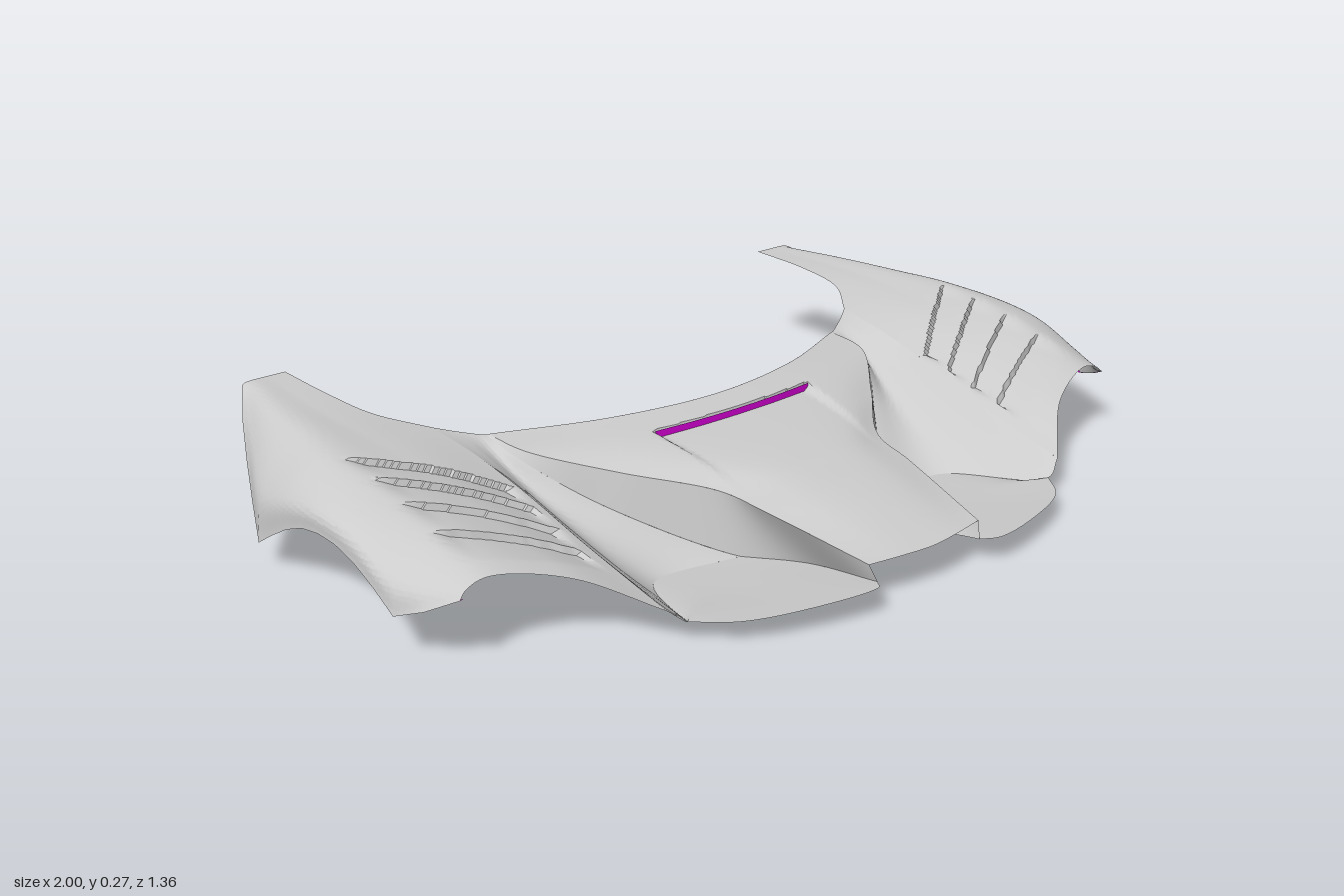
import * as THREE from 'three';
import { toCreasedNormals } from 'three/addons/utils/BufferGeometryUtils.js';

const grey = new THREE.MeshStandardMaterial({ color: 0xcccccc, side: THREE.DoubleSide });
const trim = new THREE.MeshStandardMaterial({ color: 0xcc00cc, side: THREE.DoubleSide });
const V = (x, y, z) => new THREE.Vector3(x, y, z);
const { clamp, smoothstep } = THREE.MathUtils;

// Guide rail through points, running rear to front; returns t => point
function rail(points, straight = false) {
  const pts = points.map(p => V(...p));
  if (!straight) {
    const curve = new THREE.CatmullRomCurve3(pts);
    return t => curve.getPoint(clamp(t, 0, 1));
  }
  return t => {
    const s = clamp(t, 0, 1) * (pts.length - 1), i = Math.min(Math.floor(s), pts.length - 2);
    return pts[i].clone().lerp(pts[i + 1], s - i);
  };
}
const part = (r, from, to) => t => r(from + (to - from) * t);
const shift = (r, x, y, z) => t => r(t).add(V(x, y, z));
const mirrored = r => t => r(t).multiply(V(-1, 1, 1));
// Curve across a set of rails at one station
function across(rails, t) {
  const curve = new THREE.CatmullRomCurve3(rails.map(r => r(t)));
  return u => curve.getPoint(u);
}

// Skin stretched over rails, optionally mirrored and displaced by a rule
function skin(name, rails, nu, nv, side = 1, rule = null, material = grey) {
  const pos = [], idx = [];
  for (let j = 0; j <= nv; j++) {
    const cross = across(rails, j / nv);
    for (let i = 0; i <= nu; i++) {
      const p = cross(i / nu);
      if (rule) p.y += rule(p.x, p.z);
      pos.push(p.x * side, p.y, p.z);
    }
  }
  for (let j = 0; j < nv; j++) {
    for (let i = 0; i < nu; i++) {
      const a = j * (nu + 1) + i, b = a + nu + 1, c = a + 1, d = b + 1;
      if (side > 0) idx.push(a, b, c, c, b, d);
      else idx.push(a, c, b, c, d, b);
    }
  }
  const g = new THREE.BufferGeometry();
  g.setAttribute('position', new THREE.Float32BufferAttribute(pos, 3));
  g.setIndex(idx);
  const mesh = new THREE.Mesh(toCreasedNormals(g, 0.6), material);
  mesh.name = name;
  return mesh;
}

// Fender rails, from the inner edge out to the wheel arch
const innerArm = rail([[0.715, 0.262, -0.685], [0.71, 0.26, -0.5], [0.685, 0.252, -0.35], [0.61, 0.235, -0.24]]);
const innerBody = rail([[0.61, 0.235, -0.24], [0.6, 0.217, -0.1], [0.59, 0.184, 0.06],
  [0.58, 0.132, 0.25], [0.57, 0.075, 0.5]]);
const inner = t => (t < 3 / 7 ? innerArm(t * 7 / 3) : innerBody((t * 7 - 3) / 4));
const middle = rail([[0.755, 0.262, -0.685], [0.77, 0.262, -0.5], [0.77, 0.26, -0.32], [0.76, 0.255, -0.19],
  [0.75, 0.245, -0.05], [0.74, 0.222, 0.08], [0.73, 0.188, 0.22], [0.71, 0.147, 0.385]]);
const crest = rail([[0.8, 0.262, -0.685], [0.85, 0.261, -0.5], [0.88, 0.263, -0.31], [0.9, 0.263, -0.18],
  [0.9, 0.257, -0.05], [0.89, 0.238, 0.08], [0.88, 0.21, 0.2], [0.86, 0.178, 0.33]]);
const shoulder = rail([[0.815, 0.26, -0.685], [0.905, 0.205, -0.49], [0.983, 0.165, -0.31], [0.993, 0.195, -0.18],
  [0.995, 0.212, -0.05], [0.993, 0.2, 0.08], [0.983, 0.155, 0.21], [0.91, 0.165, 0.33]]);
const arch = rail([[0.825, 0.257, -0.68], [0.875, 0.208, -0.59], [0.92, 0.16, -0.495], [0.962, 0.11, -0.4],
  [1, 0.06, -0.31], [1, 0.1, -0.245], [1, 0.136, -0.18], [1, 0.162, -0.115], [1, 0.174, -0.05],
  [1, 0.174, 0.015], [1, 0.161, 0.08], [1, 0.134, 0.15], [0.998, 0.097, 0.215],
  [0.97, 0.122, 0.28], [0.925, 0.152, 0.335]], true);

// Hood rails
const hoodEdge = rail([[0.51, 0.212, -0.18], [0.495, 0.205, -0.06], [0.37, 0.174, 0.1],
  [0.235, 0.147, 0.26], [0.21, 0.132, 0.38], [0.16, 0.09, 0.63]]);
const hoodMid = rail([[0.26, 0.219, -0.07], [0.25, 0.209, 0.03], [0.2, 0.187, 0.17],
  [0.12, 0.163, 0.31], [0.105, 0.14, 0.44], [0.08, 0.091, 0.645]]);
const hoodCentre = rail([[0, 0.22, -0.03], [0, 0.209, 0.06], [0, 0.19, 0.19],
  [0, 0.166, 0.32], [0, 0.143, 0.45], [0, 0.09, 0.652]]);

// Duct rails, from the foot of the hood wall out to the fender
const wallFoot = rail([[0.515, 0.211, -0.182], [0.505, 0.185, -0.062], [0.4, 0.1, 0.085],
  [0.215, 0.006, 0.305], [0.15, 0.02, 0.44], [0.15, 0.055, 0.645]]);
const ramp = rail([[0.53, 0.214, -0.19], [0.53, 0.18, -0.1], [0.505, 0.118, 0.02],
  [0.465, 0.057, 0.155], [0.42, 0.004, 0.275]]);
const bank = rail([[0.57, 0.224, -0.213], [0.568, 0.2, -0.1], [0.552, 0.146, 0.05],
  [0.525, 0.076, 0.25], [0.53, 0.042, 0.51]]);
const ductRails = [part(wallFoot, 0, 0.6), ramp, bank, innerBody];

// Splitter rails, from the nose outwards
const splitterRear = part(across(ductRails, 1), 0, 2 / 3);
const splitterMid = rail([[0.15, 0.02, 0.44], [0.25, 0.026, 0.46], [0.36, 0.027, 0.455],
  [0.45, 0.03, 0.45], [0.53, 0.042, 0.51]]);
const splitterFront = rail([[0.15, 0.055, 0.645], [0.18, 0.062, 0.675], [0.35, 0.058, 0.642],
  [0.46, 0.051, 0.59], [0.53, 0.042, 0.51]]);

// Four stepped louvres fanning across the fender
function louvres(x, z) {
  const d = x - 0.6, back = 0.05 - 0.73 * d, front = 0.36 - 0.3 * d;
  const q = (z - back) / (front - back);
  if (q <= 0 || q >= 1 || d <= 0.005 || d >= 0.29) return 0;
  const fade = smoothstep(d, 0.005, 0.02) * (1 - smoothstep(d, 0.23, 0.29));
  return -0.015 * fade * (1 - (q * 4) % 1);
}

// Shallow recessed panel ahead of the hood slot
function hoodPanel(x, z) {
  const start = 0.045 - 0.25 * x * x, edge = 0.235 - 0.1 * Math.max(0, z);
  if (z < start) return 0;
  return -0.014 * clamp((0.3 - z) / 0.25, 0, 1) * (1 - smoothstep(Math.abs(x), edge - 0.02, edge));
}

export function createModel() {
  const model = new THREE.Group();
  model.name = 'frontBodyPanel';

  // Hood with its recessed panel
  const hoodRails = [mirrored(hoodEdge), mirrored(hoodMid), hoodCentre, hoodMid, hoodEdge];
  model.add(skin('hood', hoodRails, 100, 110, 1, hoodPanel));

  // Coloured slot at the back of the hood panel
  const slotTop = rail([-0.225, -0.112, 0, 0.112, 0.225].map(x => [x, 0.21, 0.051 - 0.25 * x * x]));
  const slotFoot = shift(slotTop, 0, -0.018, 0.003);
  model.add(skin('hoodSlot', [slotTop, slotFoot], 2, 16, 1, null, trim));
  model.add(skin('hoodSlotBase', [slotFoot, shift(slotFoot, 0, 0, -0.016)], 2, 16, 1, null, trim));

  // Coloured lip along the rear hood edge
  const rearEdge = across(hoodRails, 0);
  model.add(skin('hoodRearLip', [rearEdge, shift(rearEdge, 0, -0.005, 0)], 1, 32, 1, null, trim));

  const archBody = part(arch, 2 / 7, 1);
  for (const side of [1, -1]) {
    const half = new THREE.Group();
    half.name = side > 0 ? 'leftSide' : 'rightSide';
    half.add(
      skin('fender', [inner, middle, crest, shoulder, arch], 60, 210, side, louvres),
      skin('archLip', [shift(archBody, -0.008, 0.002, 0), archBody], 1, 40, side, null, trim),
      skin('duct', ductRails, 30, 50, side),
      skin('ductWall', [hoodEdge, wallFoot], 10, 50, side),
      skin('splitter', [splitterFront, splitterMid, splitterRear], 14, 30, side),
    );
    model.add(half);
  }
  return model;
}
